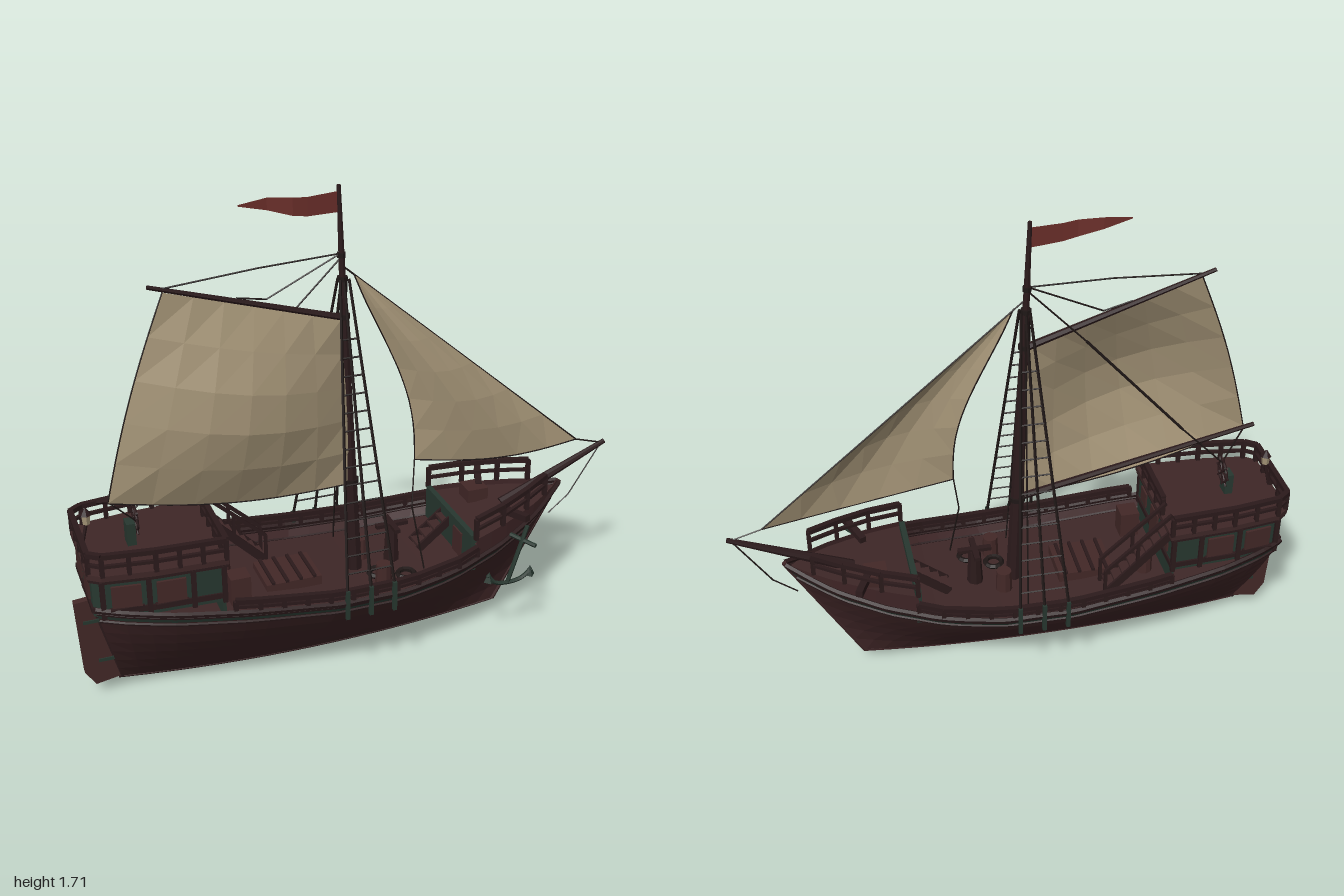
import * as THREE from 'three';

const mat = (name, color) => {
  const m = new THREE.MeshStandardMaterial({ color, side: THREE.DoubleSide, flatShading: true });
  m.name = name;
  return m;
};
const V = (x, y, z) => new THREE.Vector3(x, y, z);

// Sheer line: x, height, half width
const SHEER = [[-0.95, 0.44, 0.165], [-0.85, 0.43, 0.208], [-0.7, 0.412, 0.243], [-0.45, 0.385, 0.272], [-0.15, 0.355, 0.285],
  [0.1, 0.35, 0.276], [0.3, 0.37, 0.247], [0.5, 0.408, 0.185], [0.65, 0.447, 0.115], [0.75, 0.482, 0.052], [0.81, 0.505, 0.006]];
function sheer(x) {
  let i = 0;
  while (i < SHEER.length - 2 && x > SHEER[i + 1][0]) i++;
  const a = SHEER[i], b = SHEER[i + 1], t = (x - a[0]) / (b[0] - a[0]);
  return { y: a[1] + (b[1] - a[1]) * t, w: a[2] + (b[2] - a[2]) * t };
}
// Point on the planking: v runs from keel (0) to sheer (1)
function hullPoint(x, v, side, out = 0) {
  const s = sheer(x), kx = -0.86 + 1.42 * (x + 0.95) / 1.76;
  const ky = 0.006 + 0.044 * ((kx + 0.15) / 0.71) ** 2;
  const f = 0.45 * Math.sin(v * Math.PI / 2) + 0.55 * v;
  return V(kx + (x - kx) * v, ky + (s.y - ky) * v, side * (s.w * f + 0.004 + out));
}
const DECK = 0.87;
const deckY = x => hullPoint(x, DECK, 0).y;
// Mast leans slightly aft
const mastX = y => -0.05 * (y - 0.35) / 1.35;

export function createModel() {
  const hullM = mat('hull brown', 0x3d2425), deckM = mat('deck brown', 0x3e2727), trimM = mat('dark timber', 0x2b1a1b);
  const greenM = mat('dark green', 0x27372f), sailM = mat('canvas', 0xa39376), flagM = mat('flag red', 0x6d302b);
  const ropeM = mat('rope', 0x1f1716), panelM = mat('red brown panel', 0x432827);
  const root = new THREE.Group();

  const add = (name, geo, m) => {
    const mesh = new THREE.Mesh(geo, m);
    mesh.name = name;
    root.add(mesh);
    return mesh;
  };
  const surface = (name, fn, nu, nv, m) => {
    const pos = [], idx = [];
    for (let i = 0; i <= nu; i++) for (let j = 0; j <= nv; j++) pos.push(...fn(i / nu, j / nv).toArray());
    for (let i = 0; i < nu; i++) for (let j = 0; j < nv; j++) {
      const a = i * (nv + 1) + j, b = a + nv + 1;
      idx.push(a, b, a + 1, b, b + 1, a + 1);
    }
    let g = new THREE.BufferGeometry();
    g.setAttribute('position', new THREE.Float32BufferAttribute(pos, 3));
    g.setIndex(idx);
    g = g.toNonIndexed();
    g.computeVertexNormals();
    return add(name, g, m);
  };
  const bar = (name, a, b, r, m, r2 = r, sides = 6) => {
    const mesh = add(name, new THREE.CylinderGeometry(r2, r, a.distanceTo(b), sides), m);
    mesh.position.copy(a).lerp(b, 0.5);
    mesh.quaternion.setFromUnitVectors(V(0, 1, 0), b.clone().sub(a).normalize());
    return mesh;
  };
  const plank = (name, a, b, h, t, m) => {
    const mesh = add(name, new THREE.BoxGeometry(t, h, a.distanceTo(b)), m);
    mesh.position.copy(a).lerp(b, 0.5);
    mesh.lookAt(b);
    return mesh;
  };
  const box = (name, x, y, z, w, h, d, m) => {
    const mesh = add(name, new THREE.BoxGeometry(w, h, d), m);
    mesh.position.set(x, y, z);
    return mesh;
  };
  const tube = (name, pts, r, m, n = 16) => add(name, new THREE.TubeGeometry(new THREE.CatmullRomCurve3(pts), n, r, 5), m);
  const rope = (name, ...pts) => { for (let i = 1; i < pts.length; i++) bar(name, pts[i - 1], pts[i], 0.003, ropeM, 0.003, 4); };
  const X = u => -0.95 + 1.76 * u;

  // Hull sides, wales and gunwale
  for (const s of [1, -1]) {
    surface('hullSide', (u, v) => hullPoint(X(u), v, s), 22, 7, hullM);
    surface('greenStrake', (u, v) => hullPoint(X(u), 0.91 + 0.035 * v, s, 0.005), 22, 1, greenM);
    for (const v of [0.87, 0.965])
      tube('wale', Array.from({ length: 23 }, (_, i) => hullPoint(X(i / 22), v, s, 0.002)), 0.006, trimM, 44);
    tube('gunwale', Array.from({ length: 23 }, (_, i) => hullPoint(X(i / 22), 1, s)), 0.01, trimM, 44);
  }
  surface('transom', (u, v) => { const p = hullPoint(-0.95, v, 1); p.z *= 2 * u - 1; return p; }, 2, 7, greenM);
  surface('mainDeck', (u, v) => { const p = hullPoint(X(u), DECK, 1); p.z *= 2 * v - 1; return p; }, 22, 2, deckM);
  tube('keel', Array.from({ length: 13 }, (_, i) => hullPoint(X(i / 12), 0, 0)), 0.007, hullM);
  bar('stemPost', hullPoint(0.81, 0, 0), V(0.815, 0.51, 0), 0.01, hullM);
  bar('sternPost', hullPoint(-0.95, 0, 0), V(-0.955, 0.44, 0), 0.012, trimM);

  // Rudder
  const rud = new THREE.Shape([[-1, 0.38], [-0.95, 0.385], [-0.865, 0.06], [-0.95, 0.045], [-0.985, 0.1]].map(p => new THREE.Vector2(...p)));
  add('rudder', new THREE.ExtrudeGeometry(rud, { depth: 0.026, bevelEnabled: false }), panelM).position.z = -0.013;
  for (const y of [0.14, 0.3]) box('rudderStrap', -0.9 - (y - 0.14) * 0.25, y, 0, 0.07, 0.012, 0.034, greenM);

  // Stern cabin: outline of one side, mirrored
  const half = [[-0.96, 0.15], [-0.92, 0.18], [-0.75, 0.203], [-0.52, 0.213]];
  const ring = [...half, ...half.map(([x, z]) => [x, -z]).reverse()];
  const slab = (name, y, h, k, m) => {
    const g = new THREE.ExtrudeGeometry(new THREE.Shape(ring.map(([x, z]) => new THREE.Vector2(-0.74 + (x + 0.74) * k, -z * k))), { depth: h, bevelEnabled: false });
    g.rotateX(-Math.PI / 2);
    add(name, g, m).position.y = y;
  };
  slab('cabinWalls', 0.405, 0.14, 0.97, greenM);
  slab('cabinSill', 0.42, 0.02, 1, trimM);
  slab('quarterDeck', 0.55, 0.02, 1.03, deckM);
  slab('deckBeam', 0.538, 0.012, 1.015, trimM);
  box('cabinFront', -0.532, 0.385, 0, 0.012, 0.12, 0.41, greenM);
  const cabZ = x => x < -0.75 ? 0.18 + (x + 0.92) * 0.135 : 0.203 + (x + 0.75) * 0.0435;
  for (const s of [1, -1]) {
    for (const x of [-0.85, -0.705]) {
      plank('cabinWindow', V(x - 0.048, 0.484, s * cabZ(x - 0.048)), V(x + 0.048, 0.484, s * cabZ(x + 0.048)), 0.08, 0.009, panelM);
      plank('windowSill', V(x - 0.055, 0.44, s * cabZ(x)), V(x + 0.055, 0.44, s * cabZ(x)), 0.01, 0.018, trimM);
    }
    for (const x of [-0.925, -0.777, -0.632, -0.53]) box('cabinPost', x, 0.475, s * cabZ(x) * 0.985, 0.016, 0.14, 0.016, trimM);
    box('sternWindow', -0.956, 0.485, s * 0.07, 0.009, 0.07, 0.08, panelM);
    box('bulkheadWindow', -0.525, 0.485, s * 0.13, 0.009, 0.06, 0.06, panelM);
  }
  box('cabinDoor', -0.524, 0.435, 0, 0.009, 0.17, 0.08, panelM);

  // Railing along a path: posts with two rails
  const railing = (name, pts, hTop, gap) => {
    for (let i = 0; i < pts.length; i++) {
      const p = pts[i];
      plank(name + 'Post', p, p.clone().setY(p.y + hTop), 0.015, 0.015, trimM);
      if (!i) continue;
      const n = Math.max(1, Math.round(p.distanceTo(pts[i - 1]) / gap));
      for (let k = 1; k < n; k++) {
        const q = pts[i - 1].clone().lerp(p, k / n);
        plank(name + 'Post', q, q.clone().setY(q.y + hTop), 0.014, 0.014, trimM);
      }
      for (const [f, h] of [[1, 0.017], [0.5, 0.011]])
        plank(name, pts[i - 1].clone().setY(pts[i - 1].y + hTop * f), p.clone().setY(p.y + hTop * f), h, h * 1.1, trimM);
    }
  };
  const R = ring.map(([x, z]) => V(x, 0.565, z));
  railing('quarterRail', [...R.slice(0, 4).reverse(), ...R.slice(4).reverse()], 0.075, 0.08);
  railing('quarterFrontRail', [V(-0.52, 0.565, -0.09), R[3]], 0.075, 0.08);

  // Waist rails on both sides
  for (const s of [1, -1]) {
    const pts = Array.from({ length: 12 }, (_, i) => { const x = -0.51 + i * 0.081; return V(x, sheer(x).y, s * sheer(x).w); });
    railing('waistRail', pts, 0.042, 0.2);
  }

  // Forecastle with sloping deck inside low bulwarks
  const fy = x => 0.455 + (x - 0.38) * 0.125;
  const fx = u => 0.38 + 0.42 * u;
  for (const s of [1, -1]) {
    surface('forecastleSide', (u, v) => { const x = fx(u), q = sheer(x); return V(x, q.y - 0.01 + (fy(x) - q.y + 0.01) * v, s * q.w * 0.96); }, 6, 1, hullM);
    railing('foreRail', [0.38, 0.5, 0.62, 0.72].map(x => V(x, fy(x), s * sheer(x).w * 0.95)), 0.08, 0.11);
    plank('cathead', V(0.53, 0.49, s * 0.09), V(0.58, 0.5, s * 0.21), 0.024, 0.024, trimM);
  }
  surface('foreDeck', (u, v) => V(fx(u), fy(fx(u)) - 0.02, (2 * v - 1) * sheer(fx(u)).w * 0.96), 6, 2, deckM);
  box('foreBulkhead', 0.377, 0.395, 0, 0.02, 0.14, 0.4, greenM);
  box('foreDoor', 0.366, 0.385, 0.09, 0.009, 0.1, 0.07, panelM);
  box('foreLocker', 0.51, 0.475, -0.09, 0.08, 0.05, 0.08, panelM);

  // Stairs
  const stairs = (x0, y0, x1, y1, z, w, n) => {
    for (let i = 0; i < n; i++) {
      const t = (i + 0.5) / n;
      box('stairTread', x0 + (x1 - x0) * t, y0 + (y1 - y0) * t, z, Math.abs(x1 - x0) / n + 0.006, 0.011, w, deckM);
    }
    for (const s of [1, -1]) plank('stairStringer', V(x0, y0, z + s * w / 2), V(x1, y1, z + s * w / 2), 0.03, 0.009, trimM);
  };
  stairs(-0.3, 0.335, -0.52, 0.555, -0.155, 0.07, 8);
  stairs(0.25, 0.33, 0.38, 0.435, -0.03, 0.07, 4);
  for (const z of [-0.19, -0.12]) {
    plank('stairHandrail', V(-0.29, 0.43, z), V(-0.52, 0.64, z), 0.012, 0.012, trimM);
    for (const t of [0, 0.5]) plank('stairPost', V(-0.29 - 0.23 * t, 0.33 + 0.22 * t, z), V(-0.29 - 0.23 * t, 0.43 + 0.21 * t, z), 0.011, 0.011, trimM);
  }

  // Mast, boom, gaff, bowsprit
  bar('mast', V(0.002, 0.3, 0), V(-0.05, 1.71, 0), 0.029, trimM, 0.007, 8);
  for (const [y, r] of [[0.66, 0.03], [1.27, 0.021], [1.4, 0.018], [1.48, 0.015]])
    add('mastBand', new THREE.CylinderGeometry(r, r, 0.016, 8), ropeM).position.set(mastX(y), y, 0);
  bar('boom', V(0.01, 0.655, 0), V(-0.905, 0.787, 0.085), 0.013, trimM, 0.008);
  bar('gaff', V(-0.03, 1.262, 0), V(-0.685, 1.46, 0.035), 0.013, trimM, 0.007);
  bar('bowsprit', V(0.58, 0.455, 0), V(0.995, 0.64, 0), 0.022, trimM, 0.009, 8);

  // Mainsail and jib
  const lerp3 = (a, b, t) => a.clone().lerp(b, t);
  const S = Math.sin, PI = Math.PI;
  const main = (u, v) => {
    const p = lerp3(lerp3(V(-0.64, 1.44, 0.04), V(-0.05, 1.262, 0.015), u), lerp3(V(-0.87, 0.778, 0.095), V(-0.01, 0.655, 0.015), u), v);
    p.z += 0.11 * S(PI * v ** 1.1) * (0.1 * (1 - u) + 0.92 * S(PI * u));
    p.x -= 0.02 * S(PI * v) * (1 - u);
    p.y -= 0.035 * S(PI * u) * v ** 4;
    return p;
  };
  const jib = (u, v) => {
    const p = lerp3(V(0, 1.41, 0.005), lerp3(V(0.203, 0.73, 0.06), V(0.875, 0.667, 0), u), v);
    p.z += 0.06 * S(PI * u) * S(PI * v * 0.85);
    p.x += 0.05 * S(PI * v ** 1.4) * (1 - u);
    p.y -= 0.02 * S(PI * u) * v ** 4;
    return p;
  };
  surface('mainsail', main, 6, 5, sailM);
  surface('jib', jib, 5, 6, sailM);
  const edge = (name, fn) => tube(name, Array.from({ length: 9 }, (_, i) => fn(i / 8)), 0.0025, ropeM);
  edge('mainLeechRope', t => main(0, t));
  edge('mainFootRope', t => main(t, 1));
  edge('jibLeechRope', t => jib(0, t));
  edge('jibFootRope', t => jib(t, 1));

  // Pennant: station, top, bottom and sideways sway
  const PEN = [[-0.05, 1.69, 1.622, 0], [-0.16, 1.686, 1.624, 0.018], [-0.21, 1.69, 1.632, 0.024], [-0.29, 1.695, 1.655, 0.012], [-0.385, 1.683, 1.678, 0.02]];
  surface('pennant', (u, v) => { const [x, t, b, z] = PEN[Math.round(u * 4)]; return V(x, t + (b - t) * v, z); }, 4, 1, flagM);

  // Standing and running rigging
  rope('forestay', V(-0.035, 1.44, 0), V(0.875, 0.667, 0), V(0.985, 0.635, 0));
  rope('bobstay', V(0.98, 0.63, 0), V(0.86, 0.44, 0), V(0.78, 0.375, 0));
  rope('peakHalyard', V(-0.045, 1.485, 0), V(-0.33, 1.475, 0.02), V(-0.64, 1.45, 0.035));
  rope('throatHalyard', V(-0.045, 1.485, 0), V(-0.3, 1.365, 0.01), V(-0.4, 1.385, 0.02));
  rope('jibSheet', V(0.203, 0.73, 0.06), V(0.18, 0.57, 0.1), V(0.21, 0.34, 0.15));
  rope('mainSheet', V(-0.87, 0.78, 0.085), V(-0.77, 0.66, 0.03));
  rope('backstay', V(-0.045, 1.47, 0), V(-0.24, 1.27, -0.01));
  bar('backstay', V(-0.24, 1.27, -0.01), V(-0.6, 0.87, -0.01), 0.005, ropeM);
  rope('backstay', V(-0.6, 0.87, -0.01), V(-0.77, 0.69, 0));
  for (const s of [1, -1]) {
    const feet = [-0.13, -0.045, 0.04].map(x => V(x, 0.4, s * 0.29));
    const tops = [-0.05, -0.037, -0.02].map(x => V(x, 1.4, s * 0.012));
    feet.forEach((f, i) => {
      bar('shroud', f, tops[i], 0.0055, ropeM, 0.005, 4);
      box('chainplate', f.x, 0.35, s * 0.293, 0.014, 0.11, 0.014, greenM);
    });
    for (let k = 1; k < 15; k++) {
      const t = k * 0.058;
      bar('ratline', lerp3(feet[0], tops[0], t), lerp3(feet[2], tops[2], t), 0.0035, ropeM, 0.0035, 4);
    }
    rope('halyardFall', V(-0.035, 1.36, s * 0.01), V(-0.01, 0.33, s * 0.19));
  }

  // Anchor hung from the left cathead
  const A = (x, y) => V(x, y, 0.225);
  bar('anchorShank', A(0.572, 0.48), A(0.505, 0.265), 0.008, greenM);
  tube('anchorArms', [A(0.425, 0.305), A(0.455, 0.272), A(0.505, 0.262), A(0.56, 0.27), A(0.597, 0.3)], 0.008, greenM);
  for (const [x, y] of [[0.43, 0.3], [0.592, 0.296]]) add('anchorFluke', new THREE.ConeGeometry(0.02, 0.04, 4), greenM).position.set(x, y, 0.225);
  bar('anchorStock', V(0.53, 0.43, 0.18), V(0.585, 0.42, 0.27), 0.008, greenM);

  // Steering wheel and stern lantern
  add('steeringWheel', new THREE.TorusGeometry(0.04, 0.005, 5, 14).rotateY(PI / 2), trimM).position.set(-0.77, 0.655, 0);
  for (let i = 0; i < 4; i++) {
    const d = V(0, Math.cos(i * PI / 4), S(i * PI / 4)).multiplyScalar(0.055), c = V(-0.77, 0.655, 0);
    bar('wheelSpoke', c.clone().sub(d), c.clone().add(d), 0.004, trimM);
  }
  box('wheelPedestal', -0.79, 0.61, 0, 0.03, 0.08, 0.05, greenM);
  bar('lanternPost', V(-0.955, 0.57, 0), V(-0.93, 0.67, 0), 0.006, trimM);
  bar('lantern', V(-0.93, 0.668, 0), V(-0.93, 0.7, 0), 0.013, sailM, 0.016);
  bar('lanternCap', V(-0.93, 0.7, 0), V(-0.93, 0.725, 0), 0.02, trimM, 0.003);

  // Deck fittings
  for (const [x, z] of [[-0.46, -0.1], [0.05, -0.06], [0.06, 0.14]])
    bar('barrel', V(x, deckY(x), z), V(x, deckY(x) + 0.08, z), 0.03, panelM, 0.027, 10);
  for (const [x, z] of [[0.15, 0.13], [0.06, 0.08]])
    add('ropeCoil', new THREE.TorusGeometry(0.03, 0.01, 5, 12).rotateX(PI / 2), ropeM).position.set(x, deckY(x) + 0.01, z);
  box('cargoHatch', -0.25, deckY(-0.25) + 0.015, 0, 0.2, 0.035, 0.17, panelM);
  for (let i = 0; i < 4; i++) box('hatchBatten', -0.325 + i * 0.05, deckY(-0.25) + 0.035, 0, 0.012, 0.01, 0.17, trimM);
  box('crate', -0.46, 0.395, 0.12, 0.07, 0.1, 0.07, panelM);
  bar('capstan', V(0.145, 0.3, 0), V(0.145, 0.45, 0), 0.03, trimM, 0.022, 8);
  box('capstanBar', 0.145, 0.453, 0, 0.12, 0.014, 0.02, trimM);
  box('capstanBar', 0.145, 0.453, 0, 0.02, 0.014, 0.12, trimM);
  return root;
}
